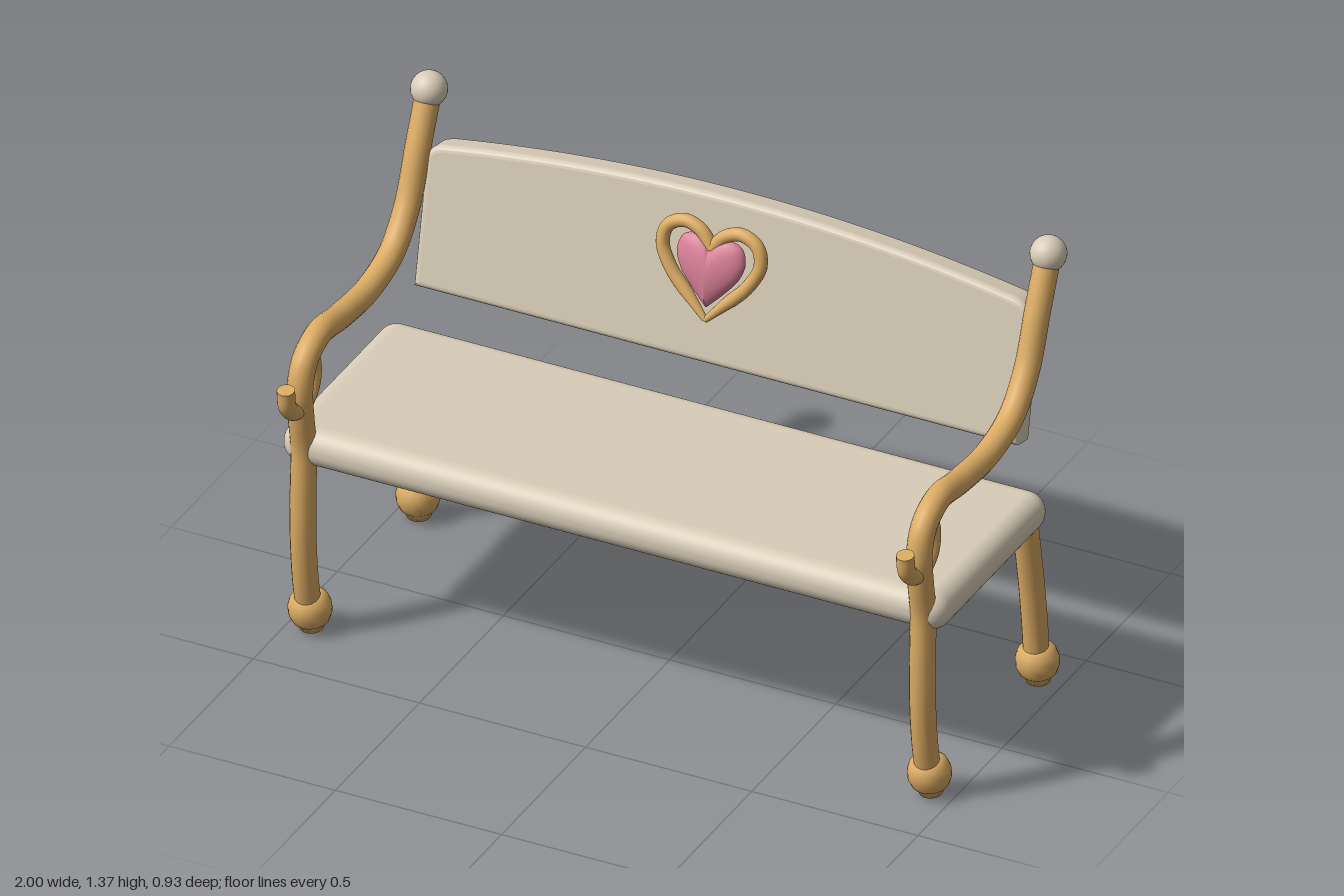
import * as THREE from 'three';
import { RoundedBoxGeometry } from 'three/addons/geometries/RoundedBoxGeometry.js';

const V = (x, y, z) => new THREE.Vector3(x, y, z);

export function createModel() {
  const bench = new THREE.Group();
  bench.name = 'bench';
  const material = (name, color) => {
    const m = new THREE.MeshStandardMaterial({ color });
    m.name = name;
    return m;
  };
  const beige = material('beige', 0xd9cdb8);
  const tan = material('tan', 0xdbab63);
  const pink = material('pink', 0xd87f96);

  const add = (parent, name, geometry, mat, pos = [0, 0, 0], tilt = 0) => {
    const mesh = new THREE.Mesh(geometry, mat);
    mesh.name = name;
    mesh.position.set(...pos);
    mesh.rotation.x = tilt;
    parent.add(mesh);
    return mesh;
  };

  // Round bar along a smooth path, with flat caps; radiusAt scales each ring
  const bar = (parent, name, points, radius, segments = 40, radiusAt = null) => {
    const curve = new THREE.CatmullRomCurve3(points);
    const geo = new THREE.TubeGeometry(curve, segments, radius, 16);
    if (radiusAt) {
      const p = geo.attributes.position, v = V(0, 0, 0);
      for (let i = 0; i < p.count; i++) {
        const t = Math.floor(i / 17) / segments;
        const c = curve.getPointAt(t);
        v.fromBufferAttribute(p, i).sub(c).multiplyScalar(radiusAt(t)).add(c);
        p.setXYZ(i, v.x, v.y, v.z);
      }
    }
    add(parent, name, geo, tan);
    for (const t of [0, 1]) {
      const r = radius * (radiusAt ? radiusAt(t) : 1);
      const cap = add(parent, name + 'Cap', new THREE.CircleGeometry(r, 16), tan);
      const out = curve.getTangentAt(t).multiplyScalar(t ? 1 : -1);
      cap.position.copy(curve.getPointAt(t));
      cap.quaternion.setFromUnitVectors(V(0, 0, 1), out);
    }
  };
  const sidePath = pairs => pairs.map(([z, y]) => V(0, y, z));

  // Seat slab
  add(bench, 'seat', new RoundedBoxGeometry(2, 0.115, 0.66, 6, 0.055), beige, [0, 0.5975, 0.03]);

  // Backrest: arched panel with rounded edges, leaning back
  const b = 0.018, w = 0.908 - b;
  const panel = new THREE.Shape();
  panel.moveTo(-w, b);
  panel.lineTo(w, b);
  panel.lineTo(w, 0.37);
  panel.quadraticCurveTo(w, 0.395, w - 0.04, 0.402);
  panel.quadraticCurveTo(0, 0.536, -w + 0.04, 0.402);
  panel.quadraticCurveTo(-w, 0.395, -w, 0.37);
  const panelGeo = new THREE.ExtrudeGeometry(panel, {
    depth: 0.088 - 2 * b, bevelThickness: b, bevelSize: b, bevelSegments: 4, curveSegments: 28,
  });
  panelGeo.translate(0, 0, -0.044 + b);
  add(bench, 'backrest', panelGeo, beige, [0, 0.772, -0.307], -0.2);

  // Side frames, one at each end
  const footProfile = [[0, -0.065], [0.034, -0.065], [0.037, -0.048], [0.052, -0.034], [0.06, -0.012],
    [0.06, 0.012], [0.053, 0.033], [0.036, 0.052], [0, 0.054]].map(p => new THREE.Vector2(...p));
  for (const side of [1, -1]) {
    const frame = new THREE.Group();
    frame.name = side > 0 ? 'leftFrame' : 'rightFrame';
    frame.position.x = side * 0.932;
    bench.add(frame);

    // Front leg sweeping up into the armrest and back post
    bar(frame, 'frontLegAndArm', sidePath([
      [0.305, 0.08], [0.325, 0.18], [0.338, 0.32], [0.338, 0.46], [0.335, 0.6], [0.35, 0.7],
      [0.357, 0.79], [0.33, 0.865], [0.25, 0.907], [0.12, 0.892], [-0.04, 0.884],
      [-0.19, 0.925], [-0.28, 1.02], [-0.345, 1.17], [-0.408, 1.31]]), 0.036, 90);

    // Small scroll under the arm
    bar(frame, 'armScroll', sidePath([
      [0.441, 0.835], [0.433, 0.782], [0.395, 0.742], [0.34, 0.735], [0.295, 0.765],
      [0.282, 0.82], [0.295, 0.86], [0.33, 0.875]]), 0.025, 40);

    bar(frame, 'rearLeg', sidePath([
      [-0.265, 0.58], [-0.287, 0.46], [-0.31, 0.33], [-0.328, 0.2], [-0.34, 0.08]]), 0.036, 24);

    for (const [name, z, tilt] of [['frontFoot', 0.297, 0.17], ['rearFoot', -0.345, 0.1]]) {
      add(frame, name, new THREE.LatheGeometry(footProfile, 24), tan, [0, 0.071, z], tilt);
    }
    add(frame, 'postBall', new THREE.SphereGeometry(0.051, 28, 18), beige, [0, 1.318, -0.411]);
  }

  // Heart ornament in front of the backrest
  const ornament = new THREE.Group();
  ornament.name = 'heartOrnament';
  ornament.position.set(0, 1.1, -0.24);
  ornament.rotation.x = -0.2;
  bench.add(ornament);
  const half = [[0, -0.145], [0.05, -0.092], [0.115, -0.022], [0.147, 0.045], [0.134, 0.098],
    [0.085, 0.122], [0.035, 0.105], [0, 0.062]];
  for (const side of [1, -1]) {
    bar(ornament, 'heartRim', half.map(([x, y]) => V(side * x, y, 0)), 0.019, 40,
      t => Math.min(1, 0.45 + t * 2.5));
  }

  // Puffed heart: a sphere whose equator follows a heart outline
  const lobe = [[0, -0.108], [0.045, -0.062], [0.088, -0.008], [0.102, 0.04], [0.088, 0.082],
    [0.052, 0.096], [0.02, 0.086], [0, 0.066]];
  const toCurve = (pts, s) => new THREE.CatmullRomCurve3(pts.map(([x, y]) => V(s * x, y, 0)));
  const rightHalf = toCurve(lobe, 1), leftHalf = toCurve(lobe, -1);
  const heart = new THREE.SphereGeometry(1, 64, 20);
  const pos = heart.attributes.position, uv = heart.attributes.uv;
  for (let i = 0; i < pos.count; i++) {
    const u = THREE.MathUtils.clamp(uv.getX(i), 0, 1), c = pos.getY(i);
    const p = u < 0.5 ? rightHalf.getPoint(u * 2) : leftHalf.getPoint(2 - u * 2);
    const s = Math.sqrt(Math.max(0, 1 - c * c));
    pos.setXYZ(i, p.x * s, p.y * s, c * 0.034);
  }
  heart.computeVertexNormals();
  add(ornament, 'heart', heart, pink);

  return bench;
}
